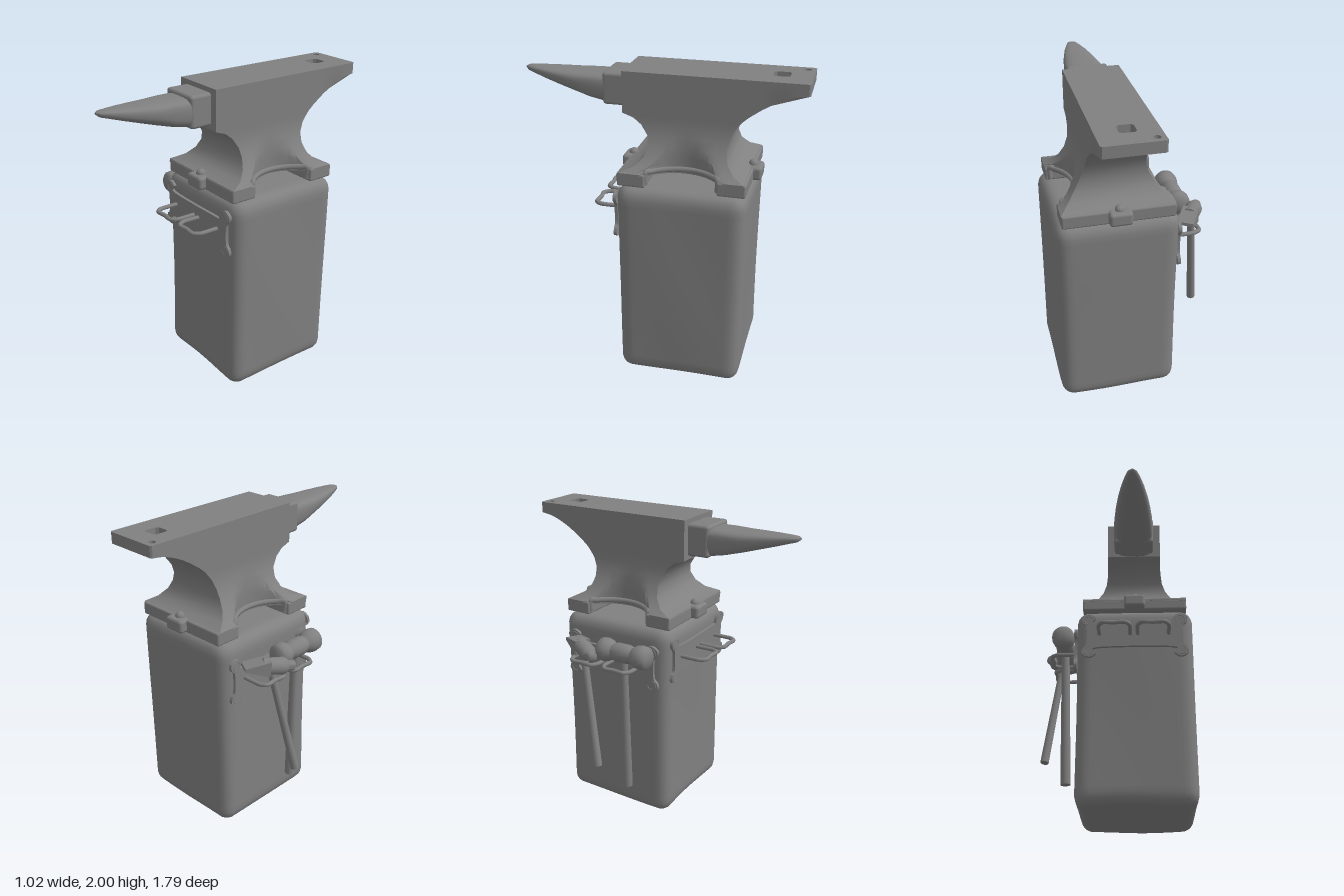
import * as THREE from 'three';
import { toCreasedNormals } from 'three/addons/utils/BufferGeometryUtils.js';
import { RoundedBoxGeometry } from 'three/addons/geometries/RoundedBoxGeometry.js';

const CX = 0.12, CZ = -0.18; // centre of block and anvil
const mat = new THREE.MeshStandardMaterial({ color: 0x808080 });
const V = (x, y, z) => new THREE.Vector3(x, y, z);

function add(parent, name, geo, x = 0, y = 0, z = 0) {
  const m = new THREE.Mesh(geo, mat);
  m.name = name;
  m.position.set(x, y, z);
  parent.add(m);
  return m;
}
const rbox = (w, h, d, r = 0.012) => new RoundedBoxGeometry(w, h, d, 2, r);

// Skin between rings that run counter-clockwise as seen from the far end
function loft(rings, crease = 0.6) {
  const n = rings[0].length, pos = [], idx = [];
  rings.forEach(r => r.forEach(p => pos.push(p.x, p.y, p.z)));
  for (let i = 0; i < rings.length - 1; i++) for (let j = 0; j < n; j++) {
    const a = i * n + j, b = i * n + (j + 1) % n;
    idx.push(a, b, b + n, a, b + n, a + n);
  }
  [0, rings.length - 1].forEach((k, end) => {
    const c = V(0, 0, 0);
    rings[k].forEach(p => c.addScaledVector(p, 1 / n));
    const ci = pos.length / 3;
    pos.push(c.x, c.y, c.z);
    for (let j = 0; j < n; j++) {
      const a = k * n + j, b = k * n + (j + 1) % n;
      if (end) idx.push(ci, a, b); else idx.push(ci, b, a);
    }
  });
  const g = new THREE.BufferGeometry();
  g.setAttribute('position', new THREE.Float32BufferAttribute(pos, 3));
  g.setIndex(idx);
  return toCreasedNormals(g, crease);
}

// Wooden block: a rounded, slightly worn box
function blockGeometry() {
  const g = new THREE.BoxGeometry(0.76, 1.325, 0.795, 24, 34, 24), p = g.attributes.position;
  const r = 0.08, half = V(0.38 - r, 0.6625 - r, 0.3975 - r), q = V(0, 0, 0);
  for (let i = 0; i < p.count; i++) {
    q.fromBufferAttribute(p, i);
    const core = q.clone().clamp(half.clone().negate(), half);
    q.sub(core).setLength(r).add(core);
    const w = 0.006 * Math.sin(7 * q.x + 3 * q.y) + 0.005 * Math.sin(9 * q.z - 4 * q.y + 1);
    const s = 1 + w + 0.008 * q.y;
    p.setXYZ(i, q.x * s, q.y + (q.y < -0.5 ? 0.006 * Math.sin(8 * q.x + 6 * q.z) : 0), q.z * s);
  }
  return toCreasedNormals(g, 0.9);
}

// Anvil body levels: y, back z, front z, half width
const LEVELS = [
  [1.398, -0.565, 0.215, 0.345], [1.42, -0.56, 0.21, 0.345], [1.45, -0.49, 0.12, 0.295],
  [1.5, -0.445, 0.07, 0.25], [1.56, -0.43, 0.05, 0.215], [1.62, -0.435, 0.06, 0.192],
  [1.68, -0.46, 0.1, 0.182], [1.72, -0.49, 0.15, 0.18], [1.745, -0.51, 0.22, 0.18],
  [1.78, -0.55, 0.22, 0.18], [1.83, -0.62, 0.22, 0.18], [2, -0.62, 0.22, 0.18]];

// Round notch cut into both sides of the foot
const notch = z => 0.477 - Math.sqrt(Math.max(0, 0.277 ** 2 - (z - CZ) ** 2));

function bodyGeometry() {
  const N = 22;
  return loft(LEVELS.map(([y, zb, zf, hw]) => {
    const ring = [];
    for (const s of [1, -1]) for (let k = 0; k <= N; k++) {
      const t = s > 0 ? k / N : 1 - k / N, z = zf + (zb - zf) * t;
      ring.push(V(CX + s * Math.min(hw, notch(z)), y, z));
    }
    return ring;
  }), 0.5);
}

// Heel with the square and round holes; the underside follows the sweep
function heelGeometry() {
  const s = new THREE.Shape(), zs = [0.62, 0.67, 0.72, 0.77, 0.82, 0.88];
  s.moveTo(-0.18, 0.62);
  zs.forEach(z => s.lineTo(0.18, z));
  s.lineTo(0.17, 0.89).lineTo(-0.17, 0.89);
  zs.slice().reverse().forEach(z => s.lineTo(-0.18, z));
  const sq = new THREE.Path(), a = 0.05, c = 0.035;
  [[-a, -c], [-c, -a], [c, -a], [a, -c], [a, c], [c, a], [-c, a], [-a, c]]
    .forEach(([x, y], i) => i ? sq.lineTo(x, 0.705 + y) : sq.moveTo(x, 0.705 + y));
  const round = new THREE.Path().absarc(-0.13, 0.84, 0.022, 0, Math.PI * 2, true);
  s.holes.push(sq, round);
  const g = new THREE.ExtrudeGeometry(s, { depth: 1, bevelEnabled: false, curveSegments: 8 });
  g.rotateX(-Math.PI / 2); // plan y becomes -z, depth becomes y
  const p = g.attributes.position;
  for (let i = 0; i < p.count; i++) {
    const d = (-p.getZ(i) - 0.62) / 0.27;
    p.setY(i, p.getY(i) > 0.5 ? 2 : 1.83 + 0.1 * (1 - (1 - d) ** 1.8));
  }
  return toCreasedNormals(g, 0.5);
}

// Horn sections: z, half width, bottom y, top y
function hornGeometry() {
  const rows = [[0.22, 0.13, 1.748, 1.95], [0.36, 0.13, 1.772, 1.95], [0.45, 0.126, 1.79, 1.95],
    [0.55, 0.115, 1.815, 1.95], [0.65, 0.098, 1.845, 1.95], [0.75, 0.075, 1.875, 1.95],
    [0.83, 0.05, 1.9, 1.95], [0.88, 0.03, 1.915, 1.949], [0.9, 0.01, 1.93, 1.942]];
  const pw = (v, e) => Math.sign(v) * Math.abs(v) ** e;
  return loft(rows.map(([z, hw, y0, y1]) => Array.from({ length: 28 }, (_, i) => {
    const t = i / 28 * Math.PI * 2, e = z < 0.5 ? 0.55 : 0.7, m = y0 + (y1 - y0) * 0.6;
    const up = Math.sin(t) > 0;
    return V(CX + hw * pw(Math.cos(t), e), m + (up ? y1 - m : m - y0) * pw(Math.sin(t), e), z);
  })), 0.8);
}

// Scrolled plate carrying two tool loops, facing +z
function toolRack(name) {
  const g = new THREE.Group();
  g.name = name;
  const quarter = [[0.24, 0.085], [0.255, 0.13], [0.3, 0.155], [0.345, 0.13], [0.338, 0.09], [0.315, 0.06]];
  const flip = (sx, sy, rev) => (rev ? quarter.slice().reverse() : quarter)
    .map(([x, y]) => new THREE.Vector2(x * sx, y * sy));
  const pts = [...flip(1, 1), ...flip(1, -1, true), ...flip(-1, -1), ...flip(-1, 1, true)];
  const shape = new THREE.Shape(new THREE.SplineCurve([...pts, pts[0]]).getPoints(96).slice(0, -1));
  add(g, 'rackPlate', toCreasedNormals(
    new THREE.ExtrudeGeometry(shape, { depth: 0.02, bevelEnabled: false }), 0.5));
  for (const sx of [1, -1]) for (const sy of [1, -1]) {
    const curl = add(g, 'scroll', new THREE.TorusGeometry(0.03, 0.005, 6, 16, 4.6), sx * 0.3, sy * 0.11, 0.018);
    curl.rotation.z = Math.atan2(sy, sx) - 2.3;
  }
  for (const x of [-0.13, 0.12]) {
    const path = new THREE.CatmullRomCurve3([V(-0.1, 0, 0), V(-0.1, 0, 0.12), V(-0.07, 0, 0.165),
      V(0, 0, 0.16), V(0.07, 0, 0.165), V(0.1, 0, 0.12), V(0.1, 0, 0)], false, 'catmullrom', 0.3);
    add(g, 'toolLoop', new THREE.TubeGeometry(path, 40, 0.014, 8), x, 0.01, 0.015);
  }
  return g;
}

function handle(parent, a, b, r) {
  const m = add(parent, 'handle', new THREE.CylinderGeometry(r * 0.8, r, a.distanceTo(b), 14));
  m.position.copy(a).add(b).multiplyScalar(0.5);
  m.quaternion.setFromUnitVectors(V(0, 1, 0), a.clone().sub(b).normalize());
}

const lathe = rows => toCreasedNormals(
  new THREE.LatheGeometry(rows.map(([r, y]) => new THREE.Vector2(r, y)), 20).rotateX(Math.PI / 2), 0.8);

export function createModel() {
  const root = new THREE.Group();
  add(root, 'woodBlock', blockGeometry(), CX, 0.672, CZ);

  // Anvil
  const anvil = new THREE.Group();
  anvil.name = 'anvil';
  root.add(anvil);
  add(anvil, 'anvilBody', bodyGeometry());
  add(anvil, 'heel', heelGeometry(), CX);
  add(anvil, 'horn', hornGeometry());
  add(anvil, 'hornStep', rbox(0.265, 0.2, 0.2, 0.02), CX, 1.87, 0.26);
  for (const s of [1, -1]) {
    const end = CZ + s * 0.39;
    add(anvil, 'foot', rbox(0.69, 0.085, 0.175), CX, 1.378, end - s * 0.083);
    add(anvil, 'boltLug', rbox(0.14, 0.085, 0.16, 0.02), CX, 1.382, end - s * 0.025);
    add(anvil, 'bolt', new THREE.SphereGeometry(0.03, 16, 10), CX, 1.425, end - s * 0.005);
    // Raised rim along the side notch
    const rim = [];
    for (let k = -8; k <= 8; k++) {
      const z = CZ + k / 8 * 0.222;
      rim.push(V(CX + s * notch(z), 1.425, z));
    }
    rim.unshift(rim[0].clone().setY(1.35));
    rim.push(rim[rim.length - 1].clone().setY(1.35));
    add(anvil, 'archRim', new THREE.TubeGeometry(new THREE.CatmullRomCurve3(rim), 60, 0.018, 8));
  }

  // Tool racks on the front and on the right side
  const front = toolRack('frontRack');
  front.position.set(CX, 1.13, 0.222);
  const side = toolRack('sideRack');
  side.position.set(-0.262, 1.08, CZ);
  side.rotation.y = -Math.PI / 2;
  root.add(front, side);

  // Round-faced hammer
  const h1 = new THREE.Group();
  h1.name = 'roundHammer';
  root.add(h1);
  add(h1, 'hammerHead', lathe([[0, -0.185], [0.055, -0.183], [0.074, -0.165], [0.078, -0.13], [0.07, -0.1],
    [0.052, -0.075], [0.062, -0.045], [0.062, 0.03], [0.052, 0.07], [0.072, 0.1], [0.077, 0.135],
    [0.073, 0.17], [0.055, 0.188], [0, 0.19]]), -0.36, 1.185, -0.035);
  handle(h1, V(-0.36, 1.24, -0.04), V(-0.333, 0.21, -0.04), 0.033);

  // Wedge-headed hammer
  const h2 = new THREE.Group();
  h2.name = 'wedgeHammer';
  root.add(h2);
  const head = new THREE.Group();
  head.name = 'hammerHead';
  head.position.set(-0.4, 1.18, -0.325);
  head.lookAt(-0.56, 1.15, -0.055);
  h2.add(head);
  add(head, 'hammerFace', lathe([[0, -0.04], [0.052, -0.04], [0.054, 0.09], [0.044, 0.11],
    [0.032, 0.12], [0.032, 0.155], [0.022, 0.165], [0, 0.165]]));
  const wedge = new THREE.BoxGeometry(0.105, 0.1, 0.16), p = wedge.attributes.position;
  for (let i = 0; i < p.count; i++) if (p.getZ(i) < 0) p.setY(i, p.getY(i) * 0.2);
  wedge.computeVertexNormals();
  add(head, 'hammerWedge', wedge, 0, 0, -0.08);
  handle(h2, V(-0.4, 1.2, -0.325), V(-0.49, 0.4, -0.17), 0.028);
  return root;
}
